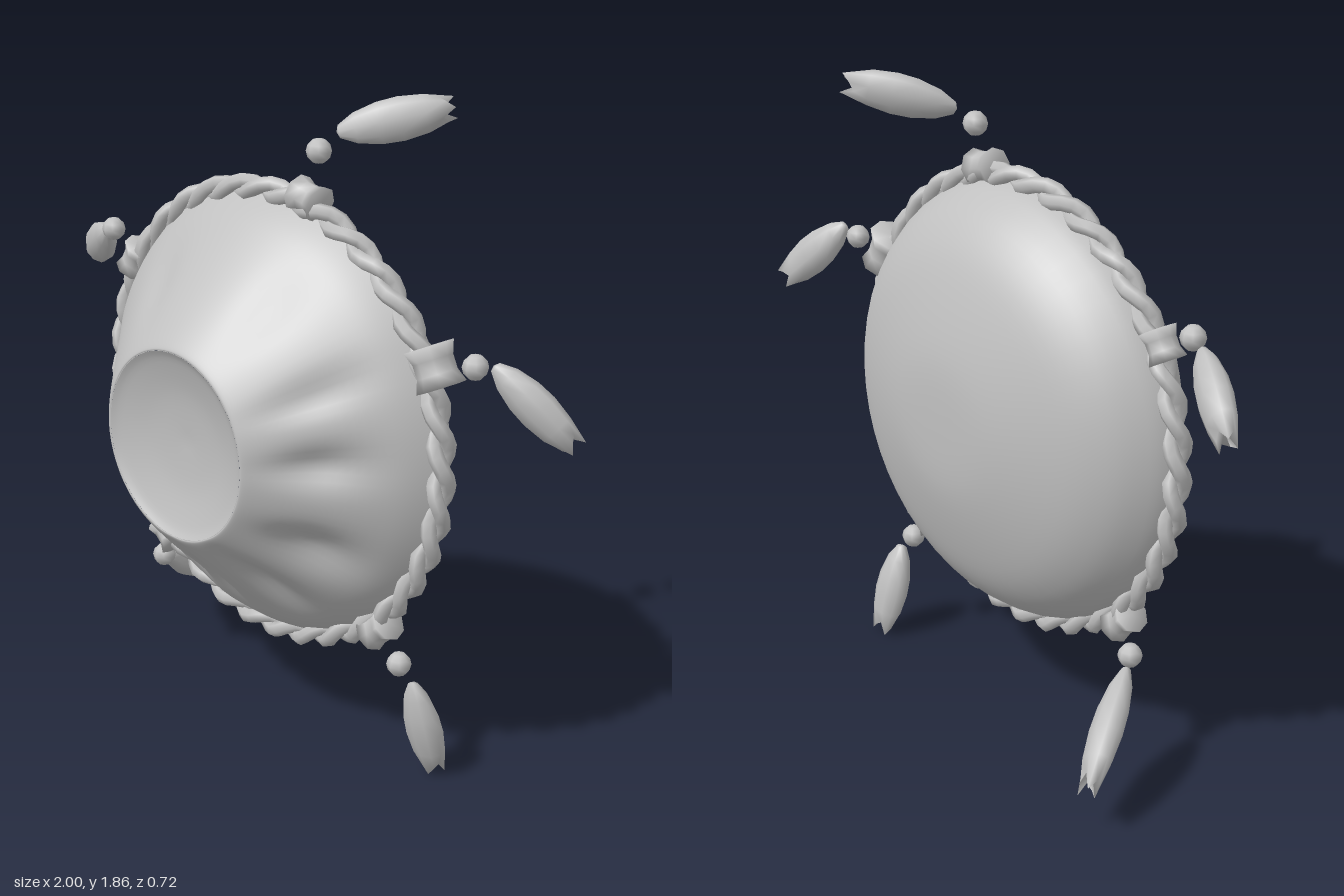
import * as THREE from 'three';
import { mergeVertices } from 'three/addons/utils/BufferGeometryUtils.js';

const CY = 0.945; // height of the disc centre
const R = 0.635;  // disc radius
const V2 = (p) => new THREE.Vector2(p[0], p[1]);

// Lathe whose vertices are moved by a rule, then smoothed across the seam
function lathe(points, segments, move) {
  const g = new THREE.LatheGeometry(points, segments);
  g.deleteAttribute('uv');
  g.deleteAttribute('normal');
  if (move) {
    const p = g.attributes.position, v = new THREE.Vector3();
    for (let i = 0; i < p.count; i++) {
      v.fromBufferAttribute(p, i);
      move(v);
      p.setXYZ(i, v.x, v.y, v.z);
    }
  }
  const m = mergeVertices(g, 1e-5);
  m.computeVertexNormals();
  return m;
}

// Dents pressed into the front cone: [angle in degrees, radius, depth, angular width, radial width]
const dents = [
  [3, 0.43, 0.035, 7, 0.09], [-32, 0.45, 0.04, 9, 0.09], [-62, 0.44, 0.03, 7, 0.1],
  [-92, 0.45, 0.025, 6, 0.1], [-110, 0.46, 0.04, 8, 0.08], [-154, 0.47, 0.045, 11, 0.08],
  [170, 0.46, 0.015, 9, 0.09], [120, 0.45, 0.012, 9, 0.09], [62, 0.45, 0.012, 9, 0.09], [28, 0.45, 0.018, 6, 0.1],
];
function pressDents(v) {
  const r = Math.hypot(v.x, v.z);
  const a = Math.atan2(-v.z, v.x) * 180 / Math.PI;
  let d = 0;
  for (const [da, dr, depth, wa, wr] of dents) {
    const u = (((a - da) % 360) + 540) % 360 - 180;
    d += depth * Math.exp(-((u / wa) ** 2) - ((r - dr) / wr) ** 2);
  }
  const s = (r - d * 0.7) / r;
  v.set(v.x * s, v.y - d * 0.7, v.z * s);
}

// One strand winding around the rim
class Strand extends THREE.Curve {
  constructor(phase) {
    super();
    this.phase = phase;
  }
  getPoint(t, out = new THREE.Vector3()) {
    const a = t * Math.PI * 2, w = a * 18 + this.phase;
    const r = 0.645 + 0.018 * Math.cos(w);
    return out.set(r * Math.cos(a), r * Math.sin(a), 0.02 * Math.sin(w));
  }
}

// Pod with a pointed start and a jagged tail, lying along +y
function podGeometry(length) {
  const profile = [[0, 0], [0.018, 0.02], [0.042, 0.16], [0.057, 0.36], [0.06, 0.54],
    [0.052, 0.75], [0.034, 0.93], [0, 0.84]].map(([r, t]) => new THREE.Vector2(r, t * length));
  return lathe(profile, 9, (v) => {
    if (v.y > 0.9 * length) v.y += 0.07 * length * Math.cos(3 * Math.atan2(v.x, v.z) + 0.4);
    v.z *= 0.72;
  });
}

export function createModel() {
  const model = new THREE.Group();
  const clay = new THREE.MeshStandardMaterial({ color: 0xc0c0c0 });
  clay.name = 'clay grey';
  const add = (parent, name, geometry) => {
    const mesh = new THREE.Mesh(geometry, clay);
    mesh.name = name;
    parent.add(mesh);
    return mesh;
  };

  // Disc: domed back, dented front cone and a shallow dish
  const disc = new THREE.Group();
  disc.name = 'disc';
  disc.position.y = CY;
  model.add(disc);

  const backCurve = new THREE.SplineCurve([[0, -0.288], [0.2, -0.278], [0.42, -0.215],
    [0.54, -0.145], [0.61, -0.06], [R, 0]].map(V2));
  add(disc, 'backShell', lathe(backCurve.getPoints(24), 48).rotateX(Math.PI / 2));

  const frontCurve = new THREE.SplineCurve([[R, 0], [0.57, 0.09], [0.42, 0.235],
    [0.29, 0.352], [0.265, 0.365]].map(V2));
  add(disc, 'frontCone', lathe(frontCurve.getPoints(32), 120, pressDents).rotateX(Math.PI / 2));

  const dishCurve = new THREE.SplineCurve([[0.265, 0.365], [0.23, 0.348], [0.13, 0.322], [0, 0.312]].map(V2));
  add(disc, 'frontDish', lathe(dishCurve.getPoints(12), 60).rotateX(Math.PI / 2));

  // Twisted rope around the rim
  for (let i = 0; i < 2; i++) {
    add(disc, 'ropeStrand', new THREE.TubeGeometry(new Strand(i * Math.PI), 144, 0.022, 6, true));
  }

  // Clasp on the rope, bead and pod: [clasp x, y, scale], bead, pod start, pod tip
  const charms = [
    [[0.145, 1.595, 1], [0.15, 1.72, -0.03], [0.165, 1.765, -0.08], [0.39, 1.835, -0.3]],
    [[0.61, 1.24, 1.3], [0.72, 1.26, -0.03], [0.78, 1.28, -0.03], [0.98, 1.08, -0.13]],
    [[0.435, 0.435, 1], [0.5, 0.345, -0.01], [0.545, 0.3, -0.02], [0.57, 0.01, -0.09]],
    [[-0.45, 0.44, 1], [-0.49, 0.35, -0.01], [-0.51, 0.33, -0.04], [-0.7, 0.145, -0.35]],
    [[-0.575, 1.28, 1], [-0.7, 1.34, -0.015], [-0.735, 1.32, -0.02], [-0.99, 1.18, -0.17]],
  ];
  const spool = [[0, -0.043], [0.052, -0.043], [0.042, -0.015], [0.042, 0.015], [0.052, 0.043], [0, 0.043]].map(V2);
  for (const [[cx, cy, scale], bead, start, tip] of charms) {
    const charm = new THREE.Group();
    charm.name = 'charm';
    model.add(charm);

    const clasp = add(charm, 'clasp', new THREE.LatheGeometry(spool, 8));
    clasp.position.set(cx, cy, 0);
    clasp.rotation.z = Math.atan2(cy - CY, cx);
    clasp.scale.setScalar(scale);

    add(charm, 'bead', new THREE.SphereGeometry(0.035, 8, 6)).position.set(...bead);

    const from = new THREE.Vector3(...start);
    const dir = new THREE.Vector3(...tip).sub(from);
    const pod = add(charm, 'pod', podGeometry(dir.length()));
    dir.normalize();
    const side = new THREE.Vector3().crossVectors(dir, new THREE.Vector3(0, 0, 1)).normalize();
    const normal = new THREE.Vector3().crossVectors(side, dir);
    pod.quaternion.setFromRotationMatrix(new THREE.Matrix4().makeBasis(side, dir, normal));
    pod.position.copy(from);
  }
  return model;
}
